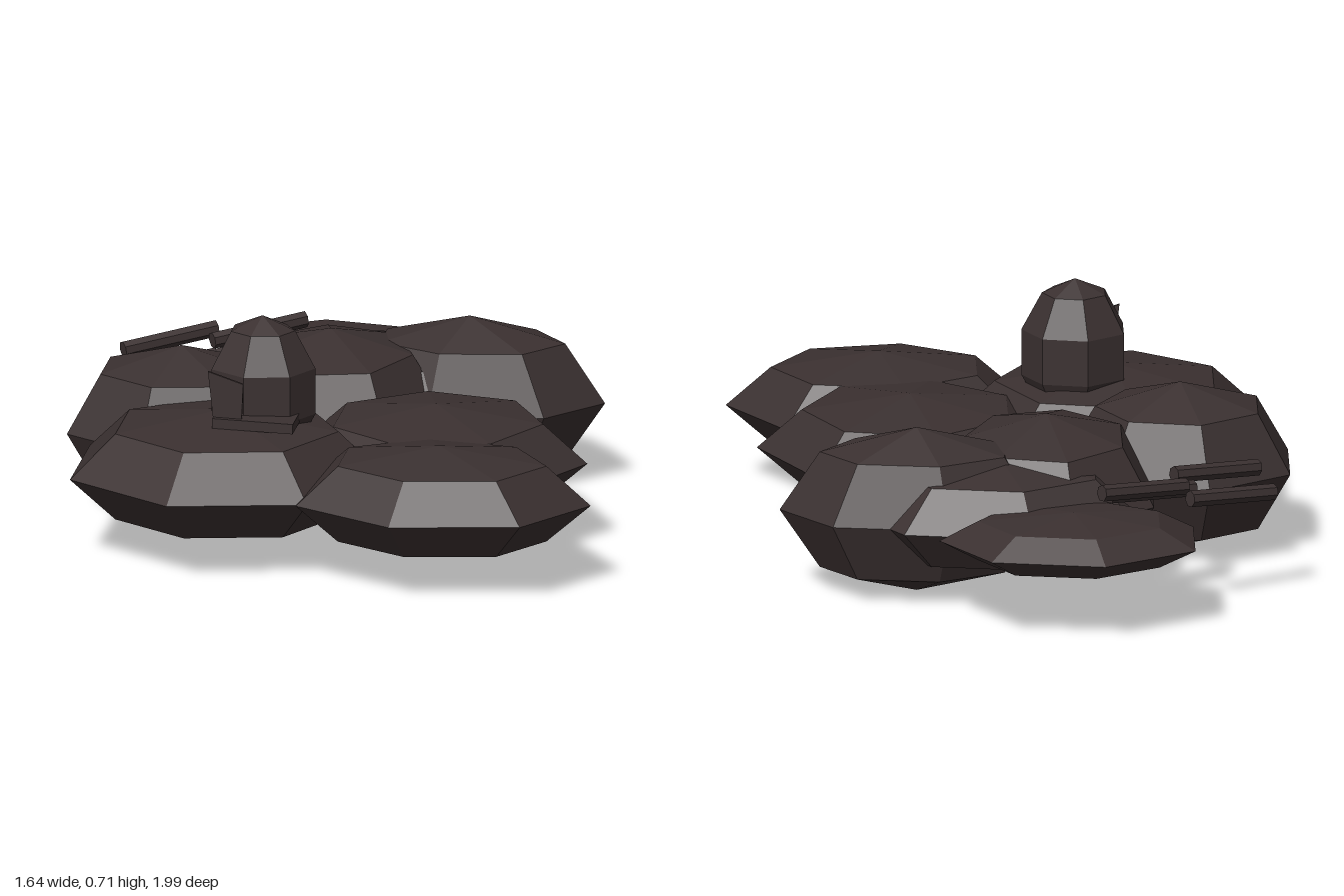
import * as THREE from 'three';

const darkStone = new THREE.MeshStandardMaterial({ color: 0x3a3030, flatShading: true });

// Seven-sided faceted ellipsoid with a corner pointing to +x
function blob(name, center, radii, rows) {
  const geo = new THREE.SphereGeometry(1, 7, rows);
  geo.rotateY(Math.PI);
  geo.scale(...radii);
  const mesh = new THREE.Mesh(geo, darkStone);
  mesh.name = name;
  mesh.position.set(...center);
  return mesh;
}

// Straight rod between two points
function rod(name, from, to, radius) {
  const a = new THREE.Vector3(...from);
  const b = new THREE.Vector3(...to);
  const dir = b.clone().sub(a);
  const mesh = new THREE.Mesh(new THREE.CylinderGeometry(radius, radius, dir.length(), 7), darkStone);
  mesh.name = name;
  mesh.position.copy(a).add(b).multiplyScalar(0.5);
  mesh.quaternion.setFromUnitVectors(new THREE.Vector3(0, 1, 0), dir.normalize());
  return mesh;
}

export function createModel() {
  const model = new THREE.Group();
  model.name = 'boulderCluster';

  // Flattened boulders: centre x, z, then radii x, y, z
  const boulders = [
    ['backBoulder', -0.165, -0.72, 0.395, 0.085, 0.287],
    ['backLeftBoulder', 0.287, -0.39, 0.403, 0.25, 0.24],
    ['rightBoulder', -0.5, 0.05, 0.355, 0.25, 0.3],
    ['frontRightBoulder', -0.303, 0.465, 0.479, 0.185, 0.425],
    ['frontLeftBoulder', 0.37, 0.67, 0.45, 0.163, 0.33],
    ['leftBoulder', 0.29, 0.24, 0.45, 0.163, 0.415],
    ['centreBoulder', -0.1, -0.23, 0.345, 0.24, 0.39],
    ['innerBackBoulder', 0.05, -0.41, 0.45, 0.17, 0.32],
  ];
  for (const [name, x, z, rx, ry, rz] of boulders) {
    model.add(blob(name, [x, 0.255, z], [rx, ry, rz], 4));
  }

  // Dome standing on the front right boulder
  model.add(blob('dome', [-0.2, 0.49, 0.41], [0.166, 0.225, 0.142], 5));

  // Doorstep slab in front of the dome
  const step = new THREE.Mesh(new THREE.BoxGeometry(0.24, 0.03, 0.18), darkStone);
  step.name = 'doorstep';
  step.position.set(-0.2, 0.428, 0.505);
  step.rotation.z = -0.03;
  model.add(step);

  // Thin crooked door panel
  const panel = new THREE.Shape([
    new THREE.Vector2(-0.32, 0.445),
    new THREE.Vector2(-0.235, 0.44),
    new THREE.Vector2(-0.23, 0.55),
    new THREE.Vector2(-0.335, 0.585),
  ]);
  const door = new THREE.Mesh(
    new THREE.ExtrudeGeometry(panel, { depth: 0.009, bevelEnabled: false }), darkStone);
  door.name = 'doorPanel';
  door.position.z = 0.57;
  model.add(door);

  // Parallel rods at the back right: outer end x, z and mean height
  const rods = [[-0.76, -0.48, 0.34], [-0.72, -0.215, 0.335], [-0.5, -0.515, 0.37], [-0.525, -0.42, 0.335]];
  rods.forEach(([x, z, y], i) => {
    model.add(rod('rod' + (i + 1), [x, y - 0.015, z], [x + 0.25, y + 0.015, z - 0.165], 0.025));
  });

  return model;
}
